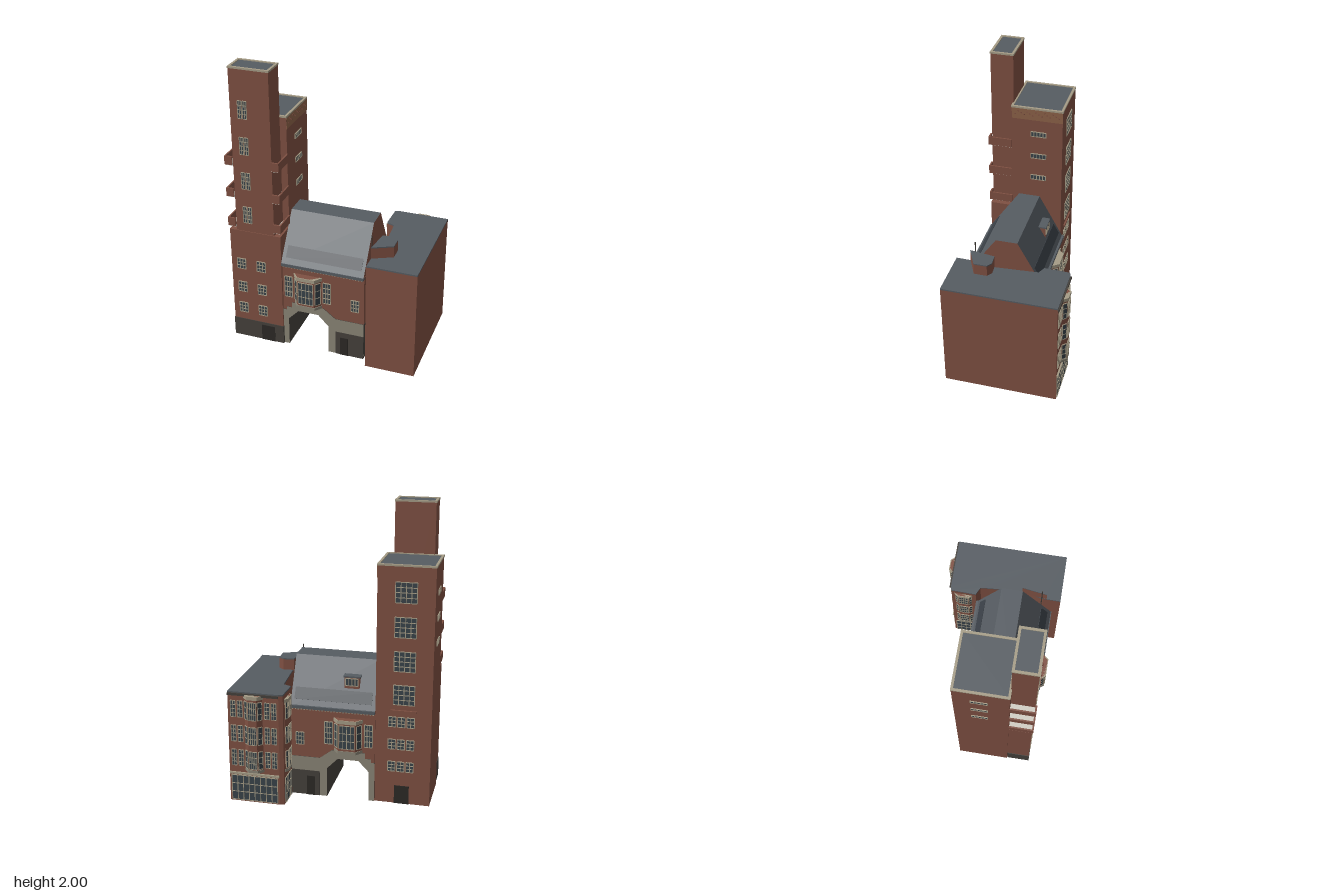
import * as THREE from 'three';

const mat = (color) => new THREE.MeshStandardMaterial({ color });
const brick = mat(0x7f5042), slate = mat(0x565c62), stone = mat(0x8a8576), plinth = mat(0x45413c);
const trim = mat(0xa59c86), pale = mat(0xcfccc2), glass = mat(0x39434a), door = mat(0x2c2926);
const frieze = mat(0x8d6248), darkGlass = mat(0x3a4047);

function add(parent, name, geo, material) {
  const m = new THREE.Mesh(geo, material);
  m.name = name;
  parent.add(m);
  return m;
}
// box given by its minimum and maximum corners
function block(parent, name, material, x0, x1, y0, y1, z0, z1) {
  const m = add(parent, name, new THREE.BoxGeometry(x1 - x0, y1 - y0, z1 - z0), material);
  m.position.set((x0 + x1) / 2, (y0 + y1) / 2, (z0 + z1) / 2);
  return m;
}
const toShape = (pts) => new THREE.Shape(pts.map(([a, b]) => new THREE.Vector2(a, b)));
// vertical prism over a floor plan of [x, z] points
function prism(parent, name, material, pts, y0, y1, hole) {
  const s = toShape(pts);
  if (hole) s.holes.push(toShape(hole));
  const geo = new THREE.ExtrudeGeometry(s, { depth: y1 - y0, bevelEnabled: false });
  geo.rotateX(Math.PI / 2).translate(0, y1, 0);
  return add(parent, name, geo, material);
}
const rect = (x0, x1, z0, z1) => [[x0, z0], [x1, z0], [x1, z1], [x0, z1]];
// wall plane: local x along the wall, local z outwards
function wall(parent, name, x, z, angle) {
  const g = new THREE.Group();
  g.name = name;
  g.position.set(x, 0, z);
  g.rotation.y = angle;
  parent.add(g);
  return g;
}
// glazed window with a frame and glazing bars
function win(parent, x, y, w, h, cols, rows, bar = 0.005) {
  const g = new THREE.Group();
  g.name = 'window';
  g.position.set(x, y, 0);
  parent.add(g);
  block(g, 'glass', glass, -w / 2, w / 2, -h / 2, h / 2, -0.005, 0.003);
  for (let i = 0; i <= cols; i++) {
    const a = -w / 2 + (w * i) / cols;
    block(g, 'verticalBar', trim, a - bar / 2, a + bar / 2, -h / 2, h / 2, 0, 0.006);
  }
  for (let j = 0; j <= rows; j++) {
    const b = -h / 2 + (h * j) / rows;
    block(g, 'horizontalBar', trim, -w / 2, w / 2, b - bar / 2, b + bar / 2, 0, 0.0055);
  }
}
// canted bay with windows on its three faces
function bay(parent, x, hw, hf, d, y0, y1, rows, winH) {
  const g = new THREE.Group();
  g.name = 'bayWindow';
  g.position.x = x;
  parent.add(g);
  const plan = (e) => [[-hw - e, -0.01], [hw + e, -0.01], [hw + e, 0], [hf + e, d + e], [-hf - e, d + e], [-hw - e, 0]];
  prism(g, 'bayBody', brick, plan(0), y0, y1);
  prism(g, 'bayCorbel', stone, plan(0.004), y0, y0 + 0.02);
  prism(g, 'bayCornice', trim, plan(0.006), y1 - 0.025, y1);
  const angle = Math.atan2(d, hw - hf), len = Math.hypot(d, hw - hf);
  const faces = [wall(g, 'bayFront', 0, d, 0)];
  for (const s of [-1, 1]) faces.push(wall(g, 'bayCant', s * (hw + hf) / 2, d / 2, s * angle));
  faces.forEach((f, i) => rows.forEach((y) =>
    win(f, 0, y, i ? len * 0.7 : hf * 1.8, winH, i ? 1 : 4, 3, 0.004)));
}
// flat roof with a raised rim
function flatRoof(parent, x0, x1, z0, z1, y) {
  prism(parent, 'roofRim', trim, rect(x0 - 0.003, x1 + 0.003, z0 - 0.003, z1 + 0.003), y - 0.012, y,
    rect(x0 + 0.013, x1 - 0.013, z0 + 0.013, z1 - 0.013));
  block(parent, 'flatRoof', slate, x0 + 0.01, x1 - 0.01, y - 0.02, y - 0.006, z0 + 0.01, z1 - 0.01);
}

function buildTower() {
  const t = new THREE.Group();
  t.name = 'tower';
  block(t, 'rearShaft', brick, -0.7, -0.325, 0, 1.638, -0.16, 0.193);
  flatRoof(t, -0.7, -0.325, -0.16, 0.193, 1.65);
  block(t, 'frontBase', brick, -0.69, -0.325, 0, 0.85, 0.18, 0.35);
  block(t, 'basePlinth', plinth, -0.694, -0.323, 0, 0.14, 0.195, 0.354);
  block(t, 'stairShaft', brick, -0.64, -0.37, 0.8, 1.988, 0.19, 0.345);
  flatRoof(t, -0.64, -0.37, 0.19, 0.345, 2);
  // front windows and entrance
  const front = wall(t, 'frontWall', 0, 0.35, 0);
  for (const y of [0.238, 0.408, 0.593]) for (const x of [-0.616, -0.472]) win(front, x, y, 0.062, 0.078, 3, 3);
  block(front, 'entranceDoor', door, -0.487, -0.388, 0, 0.12, 0, 0.007);
  const shaft = wall(t, 'shaftWall', 0, 0.345, 0);
  for (const y of [0.975, 1.225, 1.473, 1.722]) for (const x of [-0.572, -0.538]) win(shaft, x, y, 0.026, 0.12, 2, 4, 0.004);
  // slit windows on both flanks
  for (const s of [1, -1]) {
    const side = wall(t, 'sideWall', s > 0 ? -0.325 : -0.7, 0, s * Math.PI / 2);
    for (const y of [1.115, 1.285, 1.455]) win(side, -s * 0.005, y, 0.105, 0.035, 5, 1);
  }
  // ornamental brick band
  block(t, 'frieze', frieze, -0.34, -0.322, 1.56, 1.638, -0.16, 0.19);
  for (let i = 0; i < 16; i++) {
    const z = -0.14 + i * 0.02, y = 1.592 + 0.012 * ((i * 7) % 3);
    block(t, 'friezeBrick', brick, -0.323, -0.319, y, y + 0.008, z, z + 0.009);
  }
  // rear windows
  const rear = wall(t, 'rearWall', 0, -0.16, Math.PI);
  for (const y of [0.78, 1.01, 1.24, 1.47]) win(rear, 0.513, y, 0.14, 0.135, 4, 4);
  for (const y of [0.27, 0.43, 0.59]) for (const x of [0.438, 0.5, 0.562]) win(rear, x, y, 0.05, 0.07, 2, 3);
  block(rear, 'rearLedge', brick, 0.425, 0.6, 0.66, 0.675, 0, 0.012);
  block(rear, 'rearDoor', door, 0.46, 0.56, 0, 0.13, 0, 0.005);
  // corner balconies on both sides of the stair shaft
  for (const s of [-1, 1]) for (const y of [0.88, 1.1, 1.33]) {
    const b = new THREE.Group();
    b.name = 'balcony';
    t.add(b);
    const inner = -0.507 + s * 0.135, outer = -0.507 + s * 0.184;
    const lo = Math.min(inner, outer), hi = Math.max(inner, outer);
    block(b, 'balconyFloor', pale, lo, hi, y - 0.004, y + 0.008, 0.193, 0.354);
    block(b, 'balconyFront', brick, lo, hi, y, y + 0.06, 0.346, 0.357);
    block(b, 'balconySide', brick, outer - 0.005, outer + 0.005, y, y + 0.06, 0.193, 0.357);
  }
  return t;
}

function buildGatehouse() {
  const g = new THREE.Group();
  g.name = 'gatehouse';
  const x0 = -0.325, x1 = 0.255;
  // outline with the chamfered gateway cut out, e widens the opening
  const gateway = (e) => [[x0, 0], [-0.286 - e, 0], [-0.286 - e, 0.21], [-0.214, 0.285 + e], [-0.07, 0.285 + e],
    [0.003 + e, 0.21], [0.003 + e, 0], [x1, 0]];
  const extrude = (name, pts, za, zb, mats) => {
    const geo = new THREE.ExtrudeGeometry(toShape(pts), { depth: zb - za, bevelEnabled: false });
    geo.translate(0, 0, za);
    add(g, name, geo, mats);
  };
  extrude('brickWalls', [...gateway(0.006), [x1, 0.645], [x0, 0.645]], -0.165, 0.335, brick);
  extrude('stoneGateway', [...gateway(0), [x1 + 0.001, 0.28], [0.055, 0.28], [-0.03, 0.345], [-0.26, 0.345],
    [-0.26, 0.305], [-0.3, 0.305], [-0.3, 0.28], [x0, 0.28]], -0.169, 0.339, [stone, plinth]);
  // roof with a flat top and brick gables
  const roofGeo = new THREE.ExtrudeGeometry(toShape([[0.355, 0.65], [0.143, 0.96], [-0.005, 0.96], [-0.18, 0.64]]),
    { depth: x1 - x0, bevelEnabled: false });
  roofGeo.rotateY(-Math.PI / 2).translate(x1, 0, 0);
  add(g, 'roof', roofGeo, [brick, slate]);
  // long skylights
  for (const [y, z, tilt] of [[0.725, 0.304, Math.atan2(0.31, 0.212)], [0.726, -0.133, -Math.atan2(0.32, 0.175)]]) {
    const sky = add(g, 'skylight', new THREE.BoxGeometry(0.53, 0.006, 0.083), darkGlass);
    sky.position.set(-0.033, y, z);
    sky.rotation.x = tilt;
  }
  // rear dormer
  block(g, 'dormer', brick, -0.205, -0.102, 0.77, 0.855, -0.105, -0.04);
  block(g, 'dormerRoof', slate, -0.212, -0.095, 0.855, 0.865, -0.112, -0.035);
  win(wall(g, 'dormerFront', 0, -0.105, Math.PI), 0.153, 0.822, 0.085, 0.05, 4, 1);
  // same facade on both faces; s mirrors x for the rear
  for (const s of [1, -1]) {
    const f = wall(g, s > 0 ? 'frontFacade' : 'rearFacade', 0, s > 0 ? 0.335 : -0.165, s > 0 ? 0 : Math.PI);
    bay(f, -0.142 * s, 0.095, 0.058, 0.045, 0.345, 0.585, [0.465], 0.165);
    for (const x of [-0.281, -0.007]) win(f, x * s, 0.47, 0.054, 0.16, 3, 4);
    win(f, 0.192 * s, 0.413, 0.055, 0.088, 3, 3);
    const mirrored = (name, m, a, b, y0, y1, d) =>
      block(f, name, m, Math.min(a * s, b * s), Math.max(a * s, b * s), y0, y1, 0, d);
    mirrored('facadePlinth', plinth, 0.055, x1, 0, 0.18, 0.007);
    mirrored('facadeDoor', door, 0.088, 0.145, 0, 0.14, 0.01);
    mirrored('gutter', slate, x0, x1, 0.635, 0.655, 0.022);
    for (let i = 0; i < 28; i++) {
      const x = x0 + 0.008 + i * 0.0205;
      mirrored('eaveBlock', trim, x, x + 0.008, 0.624, 0.635, 0.012);
    }
  }
  return g;
}

function buildWing() {
  const w = new THREE.Group();
  w.name = 'sideWing';
  const plan = [[0.63, 0.408], [0.289, 0.408], [0.291, 0.285], [0.323, 0.128], [0.307, -0.104], [0.302, -0.162],
    [0.247, -0.187], [0.252, -0.362], [0.28, -0.37], [0.63, -0.37]];
  prism(w, 'wingWalls', brick, plan, 0, 0.78);
  prism(w, 'wingRoof', slate, plan, 0.78, 0.79);
  // roof house and flue
  const hut = [[0.29, 0.31], [0.315, 0.135], [0.39, 0.13], [0.425, 0.155], [0.425, 0.245]];
  prism(w, 'roofHouse', brick, hut, 0.785, 0.865);
  prism(w, 'roofHouseTop', slate, hut, 0.865, 0.873);
  add(w, 'flue', new THREE.CylinderGeometry(0.004, 0.004, 0.94, 8), plinth).position.set(0.284, 0.47, 0.275);
  // street facade at the rear, with shop front and bay
  const rear = wall(w, 'streetFacade', 0, -0.37, Math.PI);
  bay(rear, -0.452, 0.062, 0.03, 0.032, 0.23, 0.775, [0.32, 0.495, 0.67], 0.125);
  for (const y of [0.32, 0.495, 0.67]) for (const x of [-0.593, -0.545, -0.358, -0.312]) win(rear, x, y, 0.034, 0.115, 2, 4, 0.004);
  win(rear, -0.455, 0.1, 0.32, 0.18, 8, 3);
  block(rear, 'shopCornice', trim, -0.628, -0.282, 0.2, 0.214, 0, 0.012);
  block(rear, 'topCornice', plinth, -0.63, -0.28, 0.765, 0.782, 0, 0.01);
  // short flank facing the gatehouse
  const flank = wall(w, 'flankFacade', 0.249, -0.275, -Math.PI / 2);
  bay(flank, 0, 0.058, 0.035, 0.014, 0.23, 0.75, [0.32, 0.495, 0.67], 0.12);
  win(flank, 0, 0.1, 0.14, 0.18, 4, 3);
  return w;
}

export function createModel() {
  const model = new THREE.Group();
  model.name = 'gatehouseWithTower';
  const site = new THREE.Group();
  site.name = 'buildings';
  site.rotation.y = Math.PI / 12;
  site.add(buildTower(), buildGatehouse(), buildWing());
  model.add(site);
  return model;
}
